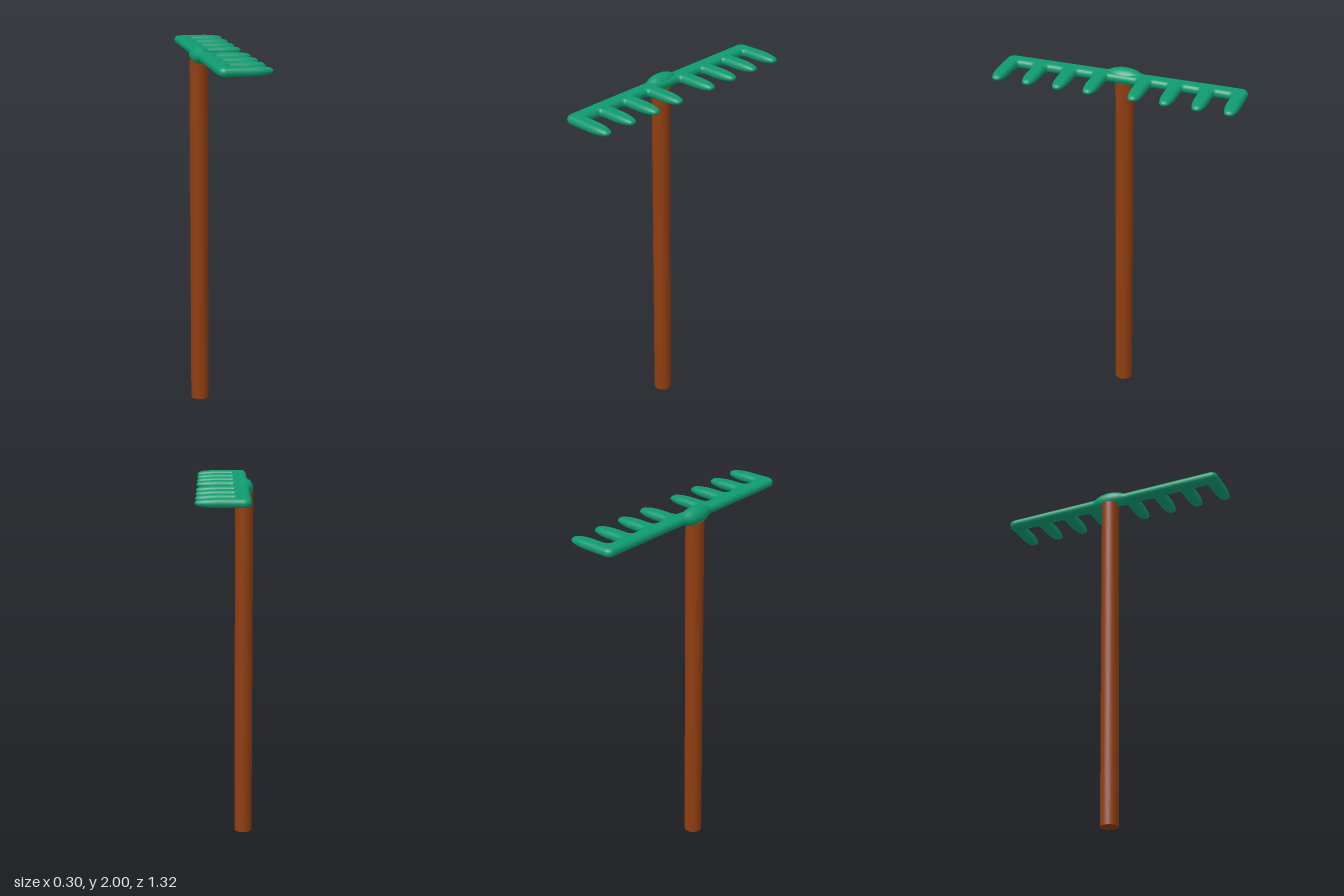
import * as THREE from 'three';
import { mergeVertices } from 'three/addons/utils/BufferGeometryUtils.js';

const HEAD_Y = 1.953;
const HANDLE_X = -0.104;

// Weld a geometry and give it fully smooth normals
function smooth(geometry) {
  geometry.deleteAttribute('uv');
  geometry.deleteAttribute('normal');
  const welded = mergeVertices(geometry, 1e-4);
  welded.computeVertexNormals();
  return welded;
}

// Comb outline (x, z), drawn inset by the bevel that rounds it off
function combShape(tines) {
  const back = -0.106, front = -0.072, half = 0.015;
  const fillet = 0.042, corner = 0.018;
  const first = tines[0] - half, last = tines[tines.length - 1] + half;
  const s = new THREE.Shape();
  s.moveTo(back, last - corner);
  s.lineTo(back, first + corner);
  s.quadraticCurveTo(back, first, back + corner, first);
  tines.forEach((c, i) => {
    if (i > 0) {
      s.lineTo(front, c - half - fillet);
      s.quadraticCurveTo(front, c - half, front + fillet, c - half);
    }
    // tapered tip
    s.lineTo(0.04, c - half);
    s.quadraticCurveTo(0.1, c - half, 0.128, c - 0.004);
    s.quadraticCurveTo(0.131, c, 0.128, c + 0.004);
    s.quadraticCurveTo(0.1, c + half, 0.04, c + half);
    if (i < tines.length - 1) {
      s.lineTo(front + fillet, c + half);
      s.quadraticCurveTo(front, c + half, front, c + half + fillet);
    }
  });
  s.lineTo(back + corner, last);
  s.quadraticCurveTo(back, last, back, last - corner);
  return s;
}

function combGeometry() {
  const tines = [-0.623, -0.457, -0.29, -0.123, 0.117, 0.285, 0.451, 0.618];
  const depth = 0.003, bevel = 0.022;
  const geometry = new THREE.ExtrudeGeometry(combShape(tines), {
    depth, bevelThickness: bevel, bevelSize: bevel, bevelSegments: 6, curveSegments: 8,
  });
  geometry.translate(0, 0, -depth / 2);
  geometry.rotateX(Math.PI / 2);
  // thin the tines toward their tips
  const p = geometry.attributes.position;
  for (let i = 0; i < p.count; i++) {
    const t = THREE.MathUtils.clamp((p.getX(i) - 0.03) / 0.122, 0, 1);
    p.setY(i, p.getY(i) * (1 - 0.4 * t * t));
  }
  return smooth(geometry);
}

// Swollen socket that flares into the bar on both sides
function socketGeometry() {
  const half = [[0, 0.048], [0.025, 0.0465], [0.05, 0.042], [0.07, 0.035], [0.09, 0.027], [0.115, 0.022], [0.135, 0.018]];
  const curve = new THREE.SplineCurve([
    new THREE.Vector2(0, -0.136),
    ...half.slice(1).reverse().map(([z, r]) => new THREE.Vector2(r, -z)),
    ...half.map(([z, r]) => new THREE.Vector2(r, z)),
    new THREE.Vector2(0, 0.136),
  ]);
  const points = curve.getPoints(48);
  points.forEach((v) => { v.x = Math.max(0, v.x); });
  return new THREE.LatheGeometry(points, 32).rotateX(Math.PI / 2);
}

export function createModel() {
  const green = new THREE.MeshStandardMaterial({ color: 0x0f9a70 });
  green.name = 'green plastic';
  const brown = new THREE.MeshStandardMaterial({ color: 0x8f3d10 });
  brown.name = 'brown wood';

  const model = new THREE.Group();
  model.name = 'rake';
  const add = (name, geometry, material, x, y) => {
    const mesh = new THREE.Mesh(geometry, material);
    mesh.name = name;
    mesh.position.set(x, y, 0);
    model.add(mesh);
  };

  const top = 1.925;
  add('handle', new THREE.CylinderGeometry(0.049, 0.049, top, 32), brown, HANDLE_X, top / 2);
  add('toothedBar', combGeometry(), green, 0, HEAD_Y);
  add('socket', socketGeometry(), green, HANDLE_X, HEAD_Y - 0.001);
  return model;
}
